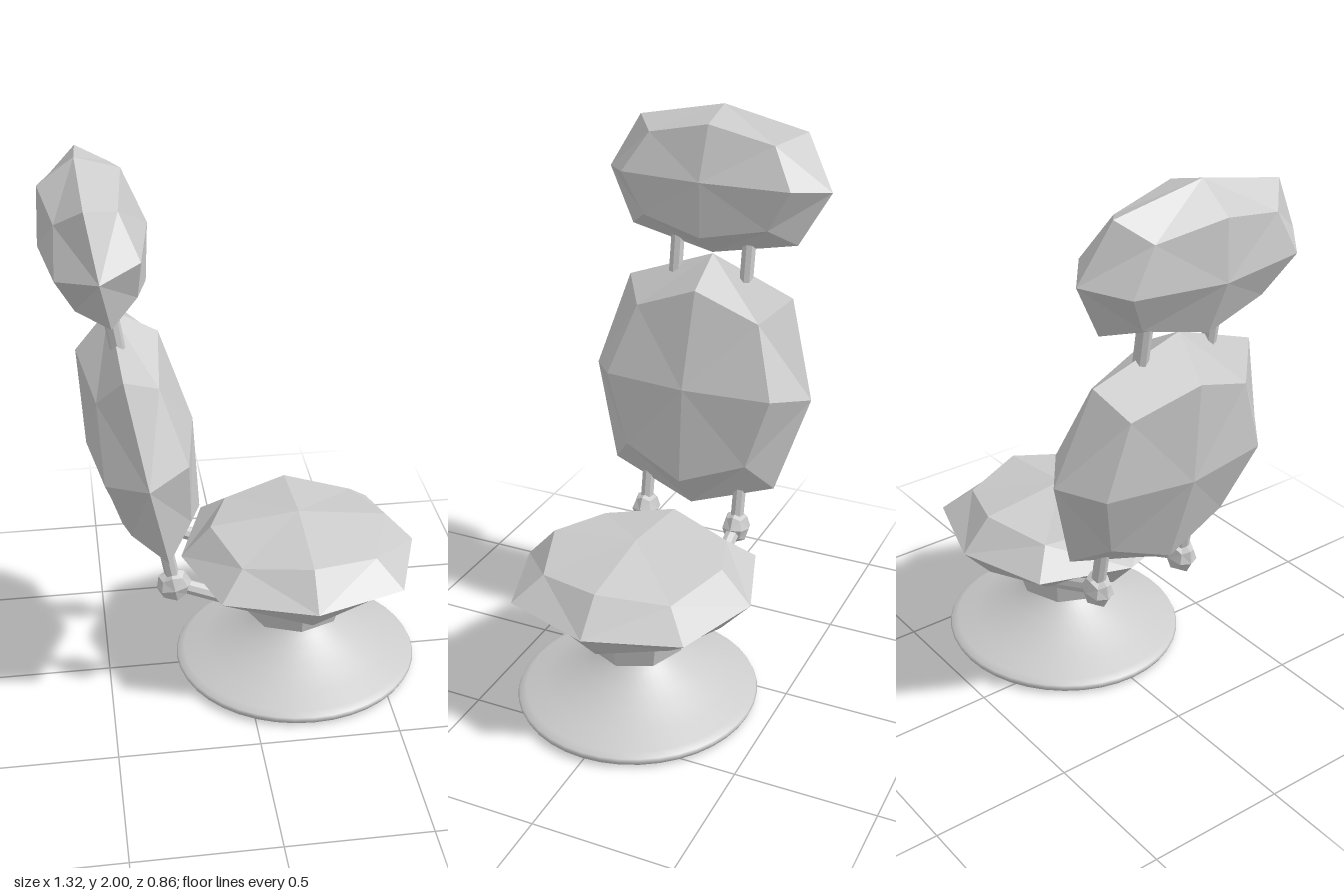
import * as THREE from 'three';

const grey = new THREE.MeshStandardMaterial({ color: 0xcccccc, flatShading: true });
const smooth = new THREE.MeshStandardMaterial({ color: 0xcccccc, side: THREE.DoubleSide });

// Faceted cushion: a cube subdivided once, with face, edge and corner points pulled to a round form
function pebbleGeometry() {
  const pull = [0, 1, 0.75, 5 / 9];
  const pos = [];
  const point = (axis, s, a, b) => {
    const p = [0, 0, 0];
    p[axis] = s;
    p[(axis + 1) % 3] = a;
    p[(axis + 2) % 3] = b;
    const k = pull[p.filter((c) => c !== 0).length];
    return p.map((c) => c * k);
  };
  for (let axis = 0; axis < 3; axis++)
    for (const s of [-1, 1])
      for (const a of [-1, 1])
        for (const b of [-1, 1]) {
          const quad = [point(axis, s, 0, 0), point(axis, s, a, 0), point(axis, s, a, b), point(axis, s, 0, b)];
          if (s * a * b < 0) quad.reverse();
          // split from face centre to corner
          const order = s * a * b < 0 ? [3, 0, 1, 3, 1, 2] : [0, 1, 2, 0, 2, 3];
          for (const i of order) pos.push(...quad[i]);
        }
  const g = new THREE.BufferGeometry();
  g.setAttribute('position', new THREE.Float32BufferAttribute(pos, 3));
  g.computeVertexNormals();
  return g;
}

export function createModel() {
  const model = new THREE.Group();
  model.name = 'chair';
  const pebble = pebbleGeometry();

  function cushion(name, [x, y, z], half, tilt = 0) {
    const m = new THREE.Mesh(pebble, grey);
    m.name = name;
    m.position.set(x, y, z);
    m.scale.set(...half);
    m.rotation.z = tilt;
    model.add(m);
  }

  function rod(name, from, to, radius) {
    const a = new THREE.Vector3(...from), b = new THREE.Vector3(...to);
    const dir = b.clone().sub(a);
    const m = new THREE.Mesh(new THREE.CylinderGeometry(radius, radius, dir.length(), 8), grey);
    m.name = name;
    m.position.copy(a).add(b).multiplyScalar(0.5);
    m.quaternion.setFromUnitVectors(new THREE.Vector3(0, 1, 0), dir.normalize());
    model.add(m);
  }

  // Three cushions
  cushion('seat', [0.21, 0.48, 0], [0.43, 0.157, 0.43]);
  cushion('backrest', [-0.355, 1.015, 0], [0.188, 0.472, 0.425], 0.185);
  cushion('headrest', [-0.483, 1.743, 0], [0.18, 0.262, 0.425], 0.175);

  // Hinges and posts on both sides
  for (const [side, s] of [['left', -1], ['right', 1]]) {
    const z = 0.185 * s;
    rod(side + 'SeatArm', [-0.265, 0.495, z], [0.03, 0.37, z], 0.026);
    rod(side + 'BackArm', [-0.265, 0.495, z], [-0.3, 0.69, z], 0.025);
    cushion(side + 'Hinge', [-0.265, 0.49, z], [0.062, 0.062, 0.05], 0.18);
    rod(side + 'HeadrestPost', [-0.415, 1.34, 0.138 * s], [-0.455, 1.6, 0.138 * s], 0.026);
  }

  // Faceted block under the seat
  const block = new THREE.Mesh(new THREE.CylinderGeometry(0.235, 0.183, 0.2, 8), grey);
  block.name = 'seatMount';
  block.position.set(0.2, 0.32, 0);
  block.scale.z = 0.92;
  model.add(block);

  // Flared hollow foot
  const profile = [
    [0, 0.225], [0.105, 0.222], [0.118, 0.205], [0.15, 0.175], [0.2, 0.142], [0.27, 0.104],
    [0.35, 0.07], [0.42, 0.046], [0.445, 0.034], [0.45, 0.024], [0.443, 0.01], [0.425, 0],
    [0.41, 0.012], [0.4, 0.035], [0.34, 0.057], [0.26, 0.092], [0.19, 0.13], [0.135, 0.167], [0.1, 0.2], [0, 0.203],
  ].map(([r, y]) => new THREE.Vector2(r, y)).reverse();
  const foot = new THREE.Mesh(new THREE.LatheGeometry(profile, 40), smooth);
  foot.name = 'foot';
  foot.position.x = 0.205;
  foot.scale.z = 0.96;
  model.add(foot);

  return model;
}
